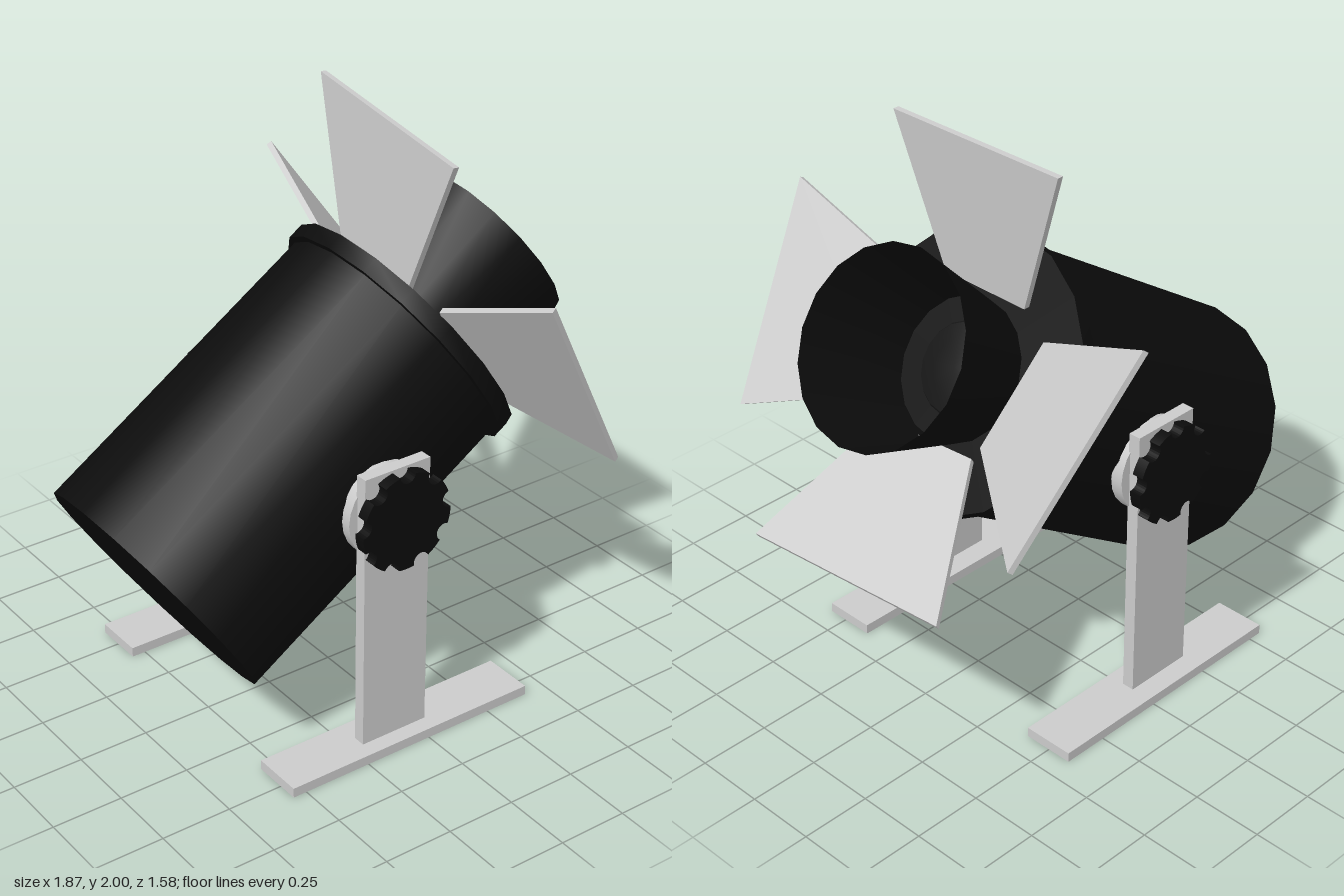
import * as THREE from 'three';
import { toCreasedNormals } from 'three/addons/utils/BufferGeometryUtils.js';

const V = (x, y, z) => new THREE.Vector3(x, y, z);
const SIDES = 18;

// Surface of revolution from [radius, height] pairs, keeping hard edges sharp
function lathe(profile) {
  const points = profile.map(([r, y]) => new THREE.Vector2(r, y));
  return toCreasedNormals(new THREE.LatheGeometry(points, SIDES, Math.PI / 2), 0.6);
}

// Thin trapezoid plate between a short hinge edge and the long outer edge a-b
function flapGeometry(a, b, hinge, hingeLength = 0.39, thickness = 0.02) {
  const along = b.clone().sub(a);
  const outerLength = along.length();
  along.normalize();
  const outer = a.clone().lerp(b, 0.5);
  const normal = along.clone().cross(outer.clone().sub(hinge)).normalize();
  const geometry = new THREE.BoxGeometry(1, 1, 1);
  const pos = geometry.attributes.position;
  for (let i = 0; i < pos.count; i++) {
    const t = pos.getY(i) + 0.5;
    const width = THREE.MathUtils.lerp(hingeLength, outerLength, t);
    const p = hinge.clone().lerp(outer, t)
      .addScaledVector(along, pos.getX(i) * width)
      .addScaledVector(normal, pos.getZ(i) * thickness);
    pos.setXYZ(i, p.x, p.y, p.z);
  }
  geometry.computeVertexNormals();
  return geometry;
}

// Round knob with nine bites taken out of its edge
function knobGeometry(radius, bite, depth) {
  const shape = new THREE.Shape();
  const half = 2 * Math.asin(bite / (2 * radius));
  const step = (Math.PI * 2) / 9;
  for (let i = 0; i < 9; i++) {
    const a = Math.PI / 2 + i * step;
    shape.absarc(radius * Math.cos(a), radius * Math.sin(a), bite,
      a - Math.PI / 2 - half / 2, a + Math.PI / 2 + half / 2, true);
    shape.absarc(0, 0, radius, a + half, a + step - half, false);
  }
  const geometry = new THREE.ExtrudeGeometry(shape, { depth, bevelEnabled: false, curveSegments: 6 });
  return geometry.translate(0, 0, -depth / 2);
}

export function createModel() {
  const model = new THREE.Group();
  model.name = 'stageLight';
  const grey = new THREE.MeshStandardMaterial({ color: 0xcccccc });
  const black = new THREE.MeshStandardMaterial({ color: 0x0c0c0c });
  const blackOpen = new THREE.MeshStandardMaterial({ color: 0x0c0c0c, side: THREE.DoubleSide });
  const lensDark = new THREE.MeshStandardMaterial({ color: 0x161616 });

  const add = (parent, name, geometry, material, x = 0, y = 0, z = 0) => {
    const mesh = new THREE.Mesh(geometry, material);
    mesh.name = name;
    mesh.position.set(x, y, z);
    parent.add(mesh);
    return mesh;
  };

  // Tilted lamp: local y runs from the back of the can out through the snout
  const lamp = new THREE.Group();
  lamp.name = 'lamp';
  lamp.position.set(-0.69, 0.545, -0.005);
  lamp.rotation.z = -THREE.MathUtils.degToRad(90 - 33.3);
  model.add(lamp);
  add(lamp, 'can', lathe([
    [0, 0], [0.45, 0], [0.45, 1.145], [0.475, 1.145], [0.475, 1.204], [0, 1.204],
  ]), black);
  add(lamp, 'snout', lathe([[0.24, 1.2], [0.33, 1.605]]), blackOpen);
  add(lamp, 'lens', lathe([[0.16, 1.2], [0.15, 1.215], [0.09, 1.23], [0, 1.235]]), lensDark);

  // Four splayed flaps hinged around the throat: outer corners, then hinge centre
  const flaps = {
    topFlap: [V(0.19, 1.94, 0.40), V(0.26, 1.995, -0.385), V(0.19, 1.445, 0)],
    bottomFlap: [V(0.925, 0.715, 0.31), V(0.875, 0.735, -0.475), V(0.472, 1.014, -0.01)],
    leftFlap: [V(0.27, 1.59, 0.785), V(0.645, 0.91, 0.705), V(0.335, 1.225, 0.26)],
    rightFlap: [V(0.315, 1.595, -0.785), V(0.74, 0.955, -0.65), V(0.335, 1.225, -0.265)],
  };
  for (const [name, corners] of Object.entries(flaps)) {
    add(model, name, flapGeometry(...corners), grey);
  }

  // Mirrored stands with foot, post, washer and clamping knob
  for (const side of [1, -1]) {
    const stand = new THREE.Group();
    stand.name = side > 0 ? 'leftStand' : 'rightStand';
    model.add(stand);
    add(stand, 'foot', new THREE.BoxGeometry(0.965, 0.035, 0.185), grey, -0.0675, 0.0175, side * 0.488 - 0.008);
    add(stand, 'post', new THREE.BoxGeometry(0.255, 1.005, 0.044), grey, -0.1025, 0.5375, side * 0.492);
    const washer = add(stand, 'washer', new THREE.CylinderGeometry(0.163, 0.163, 0.045, 24), grey, -0.1, 0.867, side * 0.453);
    washer.rotation.x = Math.PI / 2;
    add(stand, 'knob', knobGeometry(0.172, 0.03, 0.042), black, -0.1, 0.867, side * 0.542);
    const bolt = add(stand, 'bolt', new THREE.CylinderGeometry(0.05, 0.05, 0.1, 16), black, -0.1, 0.867, side * 0.5);
    bolt.rotation.x = Math.PI / 2;
  }
  return model;
}
